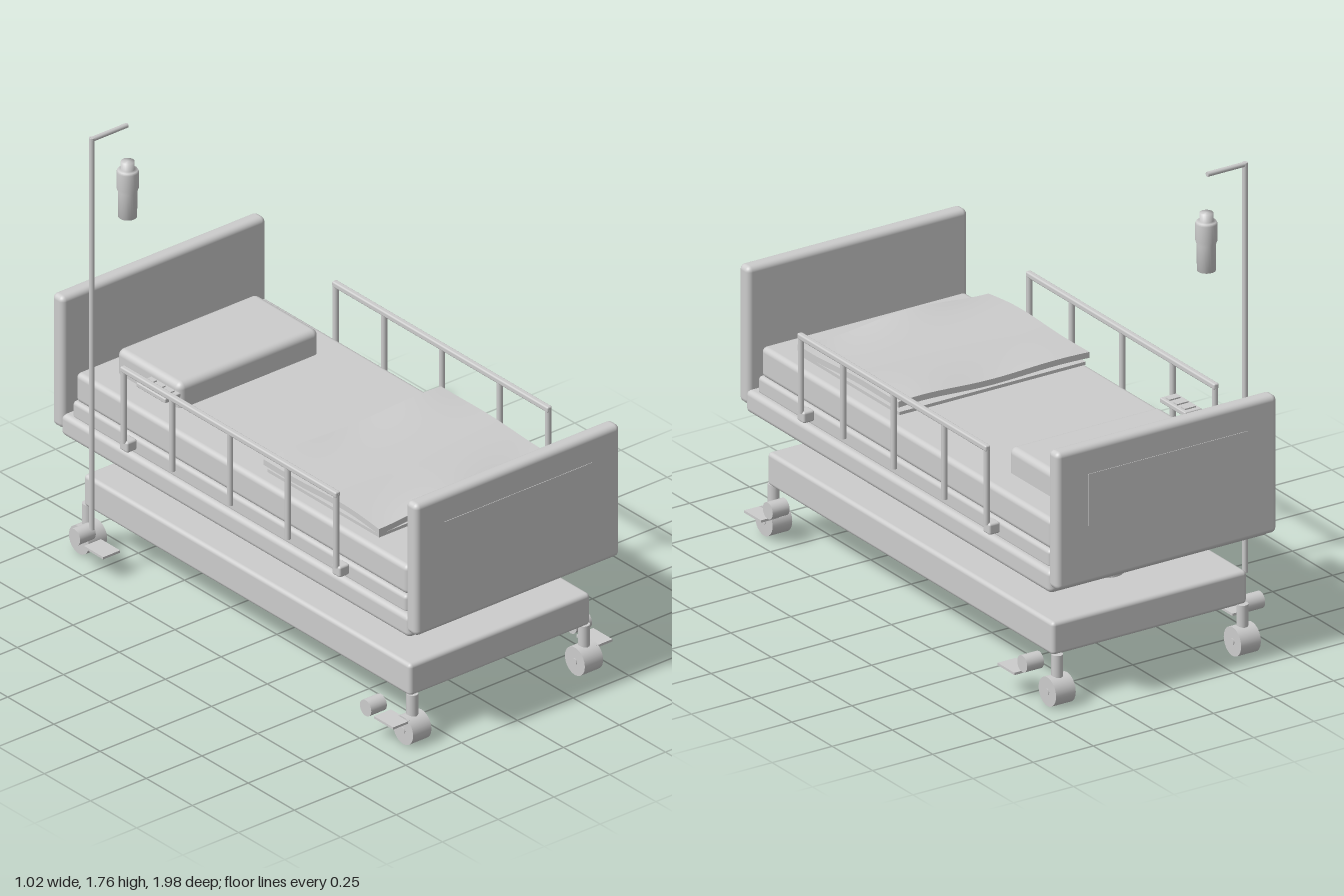
import * as THREE from 'three';
import { RoundedBoxGeometry } from 'three/addons/geometries/RoundedBoxGeometry.js';

const CX = 0.015; // centre line of the bed

export function createModel() {
  const root = new THREE.Group();
  root.name = 'hospitalBed';
  const grey = new THREE.MeshStandardMaterial({ color: 0xcccccc });
  grey.name = 'lightGrey';

  const add = (name, geo, x, y, z, parent = root) => {
    const m = new THREE.Mesh(geo, grey);
    m.name = name;
    m.position.set(x, y, z);
    parent.add(m);
    return m;
  };
  // box from its limits, rounded when r > 0
  const box = (name, x0, x1, y0, y1, z0, z1, r = 0, parent = root) => {
    const s = [x1 - x0, y1 - y0, z1 - z0];
    const geo = r ? new RoundedBoxGeometry(...s, 3, r) : new THREE.BoxGeometry(...s);
    return add(name, geo, (x0 + x1) / 2, (y0 + y1) / 2, (z0 + z1) / 2, parent);
  };
  // upright cylinder between two heights
  const post = (name, r, x, z, y0, y1, parent = root, n = 16) =>
    add(name, new THREE.CylinderGeometry(r, r, y1 - y0, n), x, (y0 + y1) / 2, z, parent);
  // cylinder lying along x
  const axle = (name, r, x0, x1, y, z, parent = root, n = 24) => {
    const m = add(name, new THREE.CylinderGeometry(r, r, x1 - x0, n), (x0 + x1) / 2, y, z, parent);
    m.rotation.z = Math.PI / 2;
    return m;
  };

  // Base and lifting columns
  box('base', -0.39, 0.42, 0.185, 0.31, -0.88, 0.89, 0.015);
  for (const z of [-0.607, 0.61]) {
    post('columnSleeve', 0.064, CX, z, 0.3, 0.435, root, 32);
    post('columnRod', 0.055, CX, z, 0.43, 0.47, root, 32);
  }
  post('cable', 0.004, -0.205, -0.36, 0.3, 0.46, root, 6);

  // Bed frame, deck, mattress and pillow
  box('frame', -0.44, 0.475, 0.455, 0.54, -0.945, 0.945, 0.02);
  box('deck', -0.42, 0.45, 0.53, 0.6, -0.905, 0.905, 0.015);
  box('mattress', -0.41, 0.44, 0.595, 0.71, -0.9, 0.9, 0.02);
  box('pillow', -0.3, 0.327, 0.66, 0.805, -0.81, -0.465, 0.025);

  // Head and foot boards with thin outer and inner panels
  for (const s of [-1, 1]) {
    const zc = 0.958 * s;
    box(s < 0 ? 'headboard' : 'footboard', -0.443, 0.473, 0.48, 1.0, zc - 0.03, zc + 0.03, 0.02);
    box('boardPanel', -0.32, 0.345, 0.7, 0.895, zc + s * 0.03 - 0.002, zc + s * 0.03 + 0.002);
  }

  // Blanket: a flat folded layer under a rumpled one
  box('blanketLayer', -0.375, 0.4, 0.732, 0.744, 0.1, 0.705);
  const rumple = new THREE.BoxGeometry(0.795, 0.022, 0.625, 24, 1, 24);
  const p = rumple.attributes.position;
  for (let i = 0; i < p.count; i++) {
    const u = p.getX(i) / 0.4, v = p.getZ(i) / 0.31;
    const wave = 0.008 * v * v * Math.sin(4 * u + 2 * v) + 0.006 * Math.cos(3 * u * v + 1);
    p.setY(i, p.getY(i) + wave);
  }
  rumple.computeVertexNormals();
  add('blanket', rumple, CX - 0.002, 0.772, 0.403);

  // Side rails
  for (const s of [-1, 1]) {
    const rail = new THREE.Group();
    rail.name = s > 0 ? 'leftSideRail' : 'rightSideRail';
    root.add(rail);
    const x = CX + s * 0.475;
    box('railTop', x - 0.011, x + 0.011, 0.868, 0.89, -0.585, 0.585, 0.006, rail);
    for (const z of [-0.575, -0.313, 0, 0.313, 0.575])
      post('railPost', 0.011, x, z, 0.59, 0.88, rail, 12);
    for (const z of [-0.575, 0.575]) {
      const xb = CX + s * 0.455;
      box('railBracket', xb - 0.023, xb + 0.023, 0.555, 0.597, z - 0.022, z + 0.022, 0.008, rail);
    }
  }

  // Castors with brake roller and pedal
  for (const [s, x] of [[-1, -0.37], [1, 0.4]]) {
    for (const f of [-1, 1]) {
      const castor = new THREE.Group();
      castor.name = 'castor';
      root.add(castor);
      const z = 0.878 * f;
      axle('wheel', 0.054, x - 0.041, x + 0.041, 0.057, z, castor, 32);
      axle('wheelHub', 0.012, x - 0.044, x + 0.044, 0.057, z, castor, 12);
      post('stem', 0.021, x, z, 0.08, 0.19, castor);
      const rx = s < 0 ? -0.47 : 0.45;
      axle('brakeRoller', 0.031, rx - 0.035, rx + 0.035, 0.14, 0.788 * f, castor);
      const px = s < 0 ? -0.44 : 0.467, pz = f > 0 ? 0.853 : -0.717;
      box('brakePedal', px - 0.038, px + 0.038, 0.095, 0.104, pz - 0.052, pz + 0.052, 0, castor);
    }
  }

  // Drip stand with hook arm and hanging bottle
  const stand = new THREE.Group();
  stand.name = 'dripStand';
  root.add(stand);
  post('pole', 0.01, -0.503, -0.697, 0.21, 1.757, stand);
  axle('arm', 0.009, -0.508, -0.345, 1.75, -0.697, stand, 12);
  const bottle = [[0, 1.39], [0.033, 1.39], [0.034, 1.49], [0.039, 1.505], [0.039, 1.567],
    [0.035, 1.575], [0.024, 1.577], [0.024, 1.607], [0, 1.607]];
  const profile = bottle.map(([r, y]) => new THREE.Vector2(r, y));
  const lathe = new THREE.LatheGeometry(profile, 24);
  add('bottle', lathe, -0.342, 0, -0.697, stand);

  // Control pad with three buttons
  const pad = new THREE.Group();
  pad.name = 'controlPad';
  root.add(pad);
  box('padBody', -0.405, -0.335, 0.79, 0.808, -0.575, -0.418, 0.004, pad);
  for (const z of [-0.545, -0.497, -0.45])
    box('button', -0.393, -0.347, 0.806, 0.813, z - 0.012, z + 0.012, 0, pad);

  return root;
}
